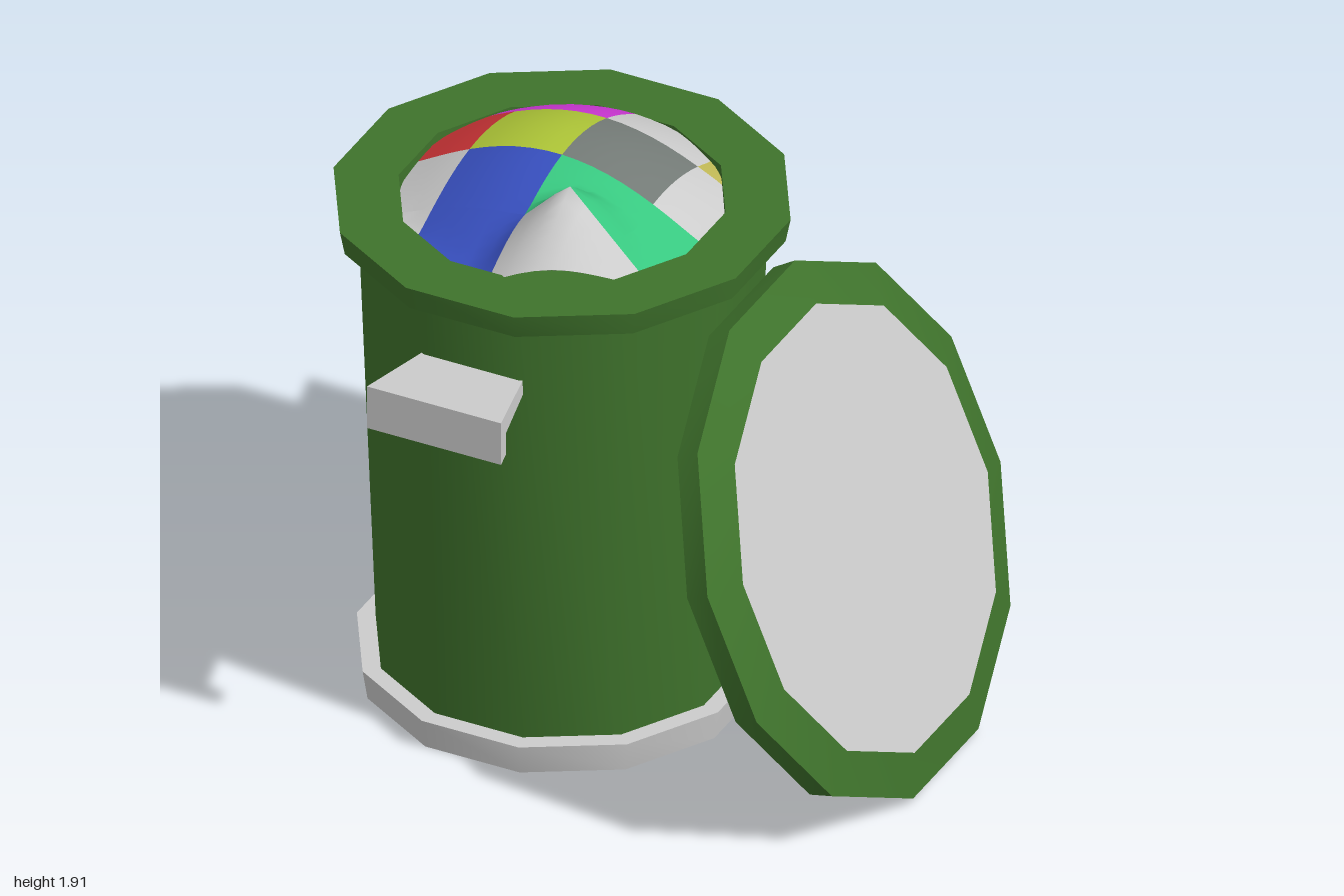
import * as THREE from 'three';
import { toCreasedNormals } from 'three/addons/utils/BufferGeometryUtils.js';

const SIDES = 12;
const FLAT = Math.cos(Math.PI / SIDES); // flat-to-centre distance / corner radius

function mesh(name, geometry, color = 0xcccccc, side = THREE.FrontSide) {
  const m = new THREE.Mesh(geometry, new THREE.MeshStandardMaterial({ color, side }));
  m.name = name;
  return m;
}

// Twelve-sided turned part; profile is [distance to flat, height], flats face the axes
function turned(name, profile, color, side) {
  const pts = profile.map(([a, y]) => new THREE.Vector2(a / FLAT, y));
  const geo = new THREE.LatheGeometry(pts, SIDES, Math.PI / SIDES);
  return mesh(name, toCreasedNormals(geo, 0.7), color, side);
}

// L-shaped grip that widens away from the wall
function handle(name) {
  const s = new THREE.Shape([
    [0.57, 1.37], [0.8, 1.357], [0.8, 1.28], [0.858, 1.28], [0.858, 1.43], [0.57, 1.42],
  ].map(([z, y]) => new THREE.Vector2(z, y)));
  const geo = new THREE.ExtrudeGeometry(s, { depth: 2, bevelEnabled: false });
  geo.translate(0, 0, -1).rotateY(-Math.PI / 2);
  const p = geo.attributes.position;
  for (let i = 0; i < p.count; i++) {
    p.setX(i, p.getX(i) * (0.165 + (p.getZ(i) - 0.57) * 0.22));
  }
  geo.computeVertexNormals();
  return mesh(name, geo);
}

// Height of the heap: a low dome with a pointed peak in front
function heapHeight(x, z) {
  const r = Math.hypot(x + 0.02, z + 0.07) / 0.52;
  const dome = 1.65 + 0.195 * Math.pow(Math.max(0, 1 - r * r), 1.2);
  const peak = 1.92 - Math.hypot((x - 0.15) * 1.02, (z - 0.25) * 0.8);
  return Math.max(dome, peak);
}

// One patch of the heap, its outer points pulled in to the round opening
function patch(name, color, x0, x1, z0, z1) {
  const geo = new THREE.PlaneGeometry(1, 1, 6, 6).rotateX(-Math.PI / 2);
  const p = geo.attributes.position;
  for (let i = 0; i < p.count; i++) {
    let x = x0 + (p.getX(i) + 0.5) * (x1 - x0);
    let z = z0 + (p.getZ(i) + 0.5) * (z1 - z0);
    const k = Math.min(1, 0.5 / Math.hypot(x, z));
    x *= k;
    z *= k;
    p.setXYZ(i, x, heapHeight(x, z), z);
  }
  geo.computeVertexNormals();
  return mesh(name, geo, color, THREE.DoubleSide);
}

export function createModel() {
  const model = new THREE.Group();
  model.name = 'trashCanWithLid';
  const green = 0x3f732c;

  const can = new THREE.Group();
  can.name = 'can';
  can.position.x = -0.315;
  model.add(can);

  can.add(turned('base', [[0, 0], [0.6, 0], [0.615, 0.1], [0.5, 0.1]]));
  can.add(turned('body', [[0.558, 0.08], [0.615, 1.63]], green, THREE.DoubleSide));
  can.add(turned('rim', [
    [0.6, 1.62], [0.67, 1.62], [0.685, 1.7], [0.49, 1.7], [0.49, 1.5], [0, 1.5],
  ], green, THREE.DoubleSide));

  const front = handle('frontHandle');
  const back = handle('backHandle');
  back.rotation.y = Math.PI;
  can.add(front, back);

  // Heap of patchwork rubbish
  const heap = new THREE.Group();
  heap.name = 'rubbishHeap';
  const xs = [-0.5, -0.315, 0, 0.31, 0.5];
  const zs = [-0.5, -0.3, 0, 0.25, 0.5];
  const grey = 0xcccccc;
  const colors = [
    [0xd038d8, 0xd038d8, grey, 0xbfb755],
    [0xd03538, 0xb0c838, 0x737a76, grey],
    [grey, 0x3850c0, 0x38c880, 0x38c880],
    [grey, 0x3850c0, grey, grey],
  ];
  colors.forEach((row, j) => row.forEach((color, i) => {
    heap.add(patch(`rubbishPatch${j * 4 + i + 1}`, color, xs[i], xs[i + 1], zs[j], zs[j + 1]));
  }));
  can.add(heap);

  // Lid leaning against the side
  const lid = new THREE.Group();
  lid.name = 'lid';
  lid.add(turned('lidShell', [[0, 0], [0.804, 0], [0.817, 0.083], [0.682, 0.125]], green));
  lid.add(turned('lidPanel', [[0.682, 0.125], [0, 0.125]]));
  lid.position.set(0.6025, 0.745, 0);
  lid.rotation.z = -THREE.MathUtils.degToRad(67.5);
  model.add(lid);

  return model;
}
